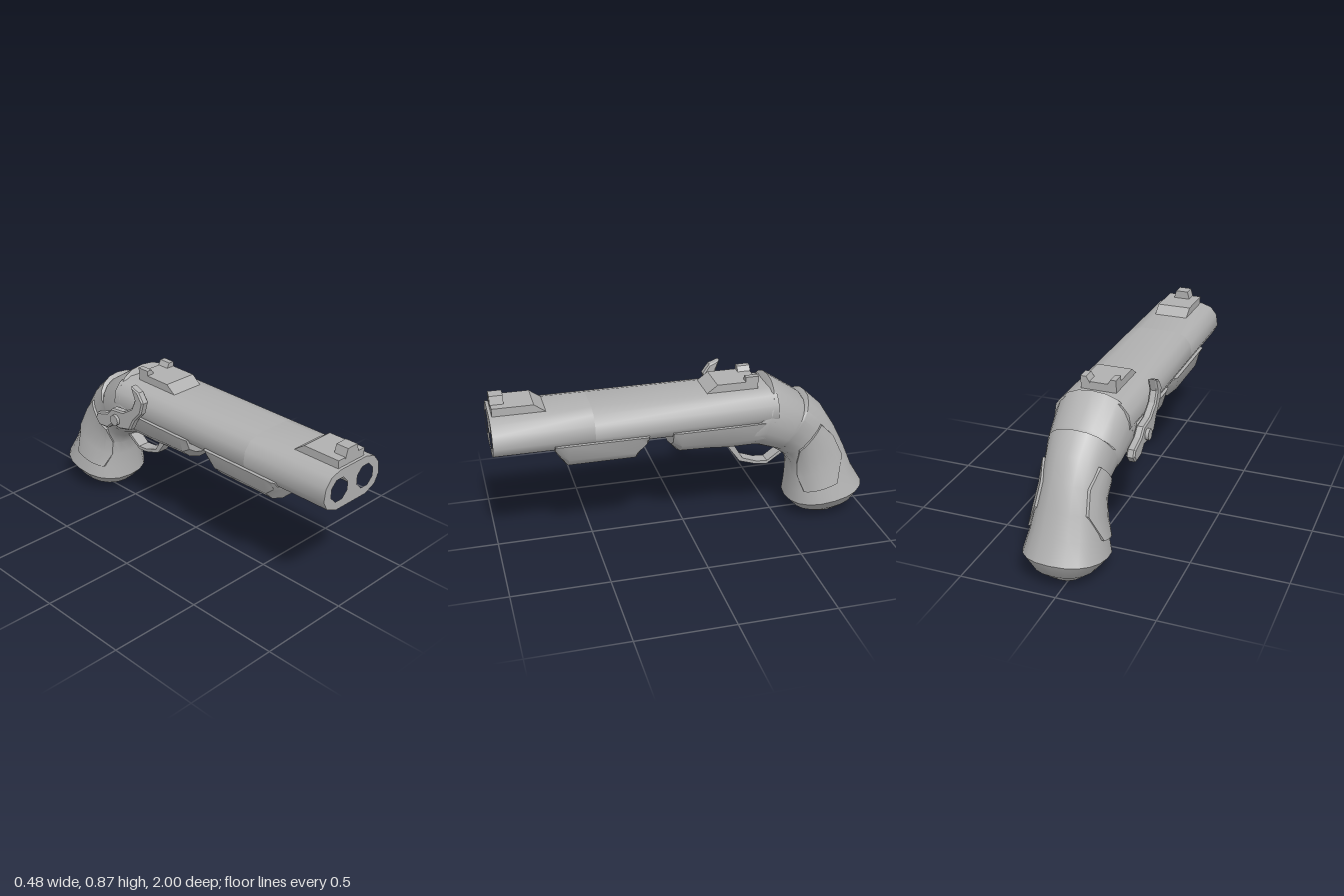
import * as THREE from 'three';
import { toCreasedNormals } from 'three/addons/utils/BufferGeometryUtils.js';

const CX = 0.03; // centre plane of the body

// Closed skin through equal-length rings of [x, y, z], with both ends capped
function loft(rings) {
  const n = rings[0].length, pos = rings.flat(2), idx = [];
  for (let i = 0; i < rings.length - 1; i++) {
    for (let j = 0; j < n; j++) {
      const a = i * n + j, b = i * n + (j + 1) % n;
      idx.push(a, b, b + n, a, b + n, a + n);
    }
  }
  [rings[0], rings[rings.length - 1]].forEach((ring, end) => {
    const c = pos.length / 3, base = end ? (rings.length - 1) * n : 0;
    for (let k = 0; k < 3; k++) pos.push(ring.reduce((s, p) => s + p[k], 0) / n);
    for (let j = 0; j < n; j++) {
      const a = base + j, b = base + (j + 1) % n;
      if (end) idx.push(a, b, c); else idx.push(b, a, c);
    }
  });
  // turn the skin outward if its signed volume is negative
  const at = i => new THREE.Vector3().fromArray(pos, i * 3);
  let volume = 0;
  for (let i = 0; i < idx.length; i += 3) {
    volume += at(idx[i]).dot(at(idx[i + 1]).cross(at(idx[i + 2])));
  }
  if (volume < 0) idx.reverse();
  const g = new THREE.BufferGeometry();
  g.setAttribute('position', new THREE.Float32BufferAttribute(pos, 3));
  g.setIndex(idx);
  return toCreasedNormals(g, 0.6);
}

const toShape = pts => new THREE.Shape(pts.map(p => new THREE.Vector2(...p)));
const mirrored = half => [...half, ...half.slice().reverse().map(([x, y]) => [-x, y])];

// Side outline in [z, y], extruded across x from x0 to x1
function sidePlate(outline, x0, x1, bevel = 0) {
  const g = new THREE.ExtrudeGeometry(toShape(outline.map(([z, y]) => [-z, y])), {
    depth: x1 - x0, bevelEnabled: bevel > 0, bevelSize: bevel, bevelThickness: bevel, bevelOffset: -bevel, bevelSegments: 1,
  });
  return g.rotateY(Math.PI / 2).translate(x0, 0, 0);
}

// Grip stations: spine-back z, y; front/underside z, y; half width
const GRIP = [
  [-0.42, 0.79, -0.28, 0.475, 0.196],
  [-0.445, 0.832, -0.36, 0.465, 0.203],
  [-0.62, 0.715, -0.46, 0.43, 0.185],
  [-0.632, 0.698, -0.47, 0.425, 0.18],
  [-0.655, 0.72, -0.485, 0.415, 0.175],
  [-0.75, 0.63, -0.54, 0.375, 0.158],
  [-0.82, 0.52, -0.575, 0.32, 0.153],
  [-0.88, 0.40, -0.58, 0.25, 0.168],
  [-0.93, 0.28, -0.577, 0.17, 0.188],
  [-0.995, 0.175, -0.57, 0.10, 0.209],
  [-0.96, 0.095, -0.62, 0.047, 0.155],
  [-0.88, 0.025, -0.70, 0.01, 0.085],
];
const power = v => Math.sign(v) * Math.abs(v) ** 0.88;
function gripPoint([tz, ty, bz, by, w], angle, offset = 0) {
  const s = power(Math.sin(angle)) / 2, c = power(Math.cos(angle));
  return [CX + c * (w + offset), (ty + by) / 2 + (ty - by) * s, (tz + bz) / 2 + (tz - bz) * s];
}

export function createModel() {
  const model = new THREE.Group();
  const metal = new THREE.MeshStandardMaterial({ color: 0xb0b0b0 });
  metal.name = 'plain grey';
  const add = (name, geometry) => {
    const mesh = new THREE.Mesh(geometry, metal);
    mesh.name = name;
    model.add(mesh);
    return mesh;
  };

  // Twin barrel block: bored front section and solid rear section
  const section = mirrored([[0.095, 0.797], [0.155, 0.778], [0.19, 0.735], [0.2, 0.67], [0.175, 0.622], [0.11, 0.593]]);
  const bored = toShape(section);
  for (const x of [-0.093, 0.093]) {
    const hole = new THREE.Path();
    for (let i = 0; i <= 8; i++) {
      const a = -(i + 0.5) * Math.PI / 4;
      const p = [x + 0.062 * Math.cos(a), 0.695 + 0.062 * Math.sin(a)];
      if (i) hole.lineTo(...p); else hole.moveTo(...p);
    }
    bored.holes.push(hole);
  }
  const extrude = (shape, z0, z1) => toCreasedNormals(
    new THREE.ExtrudeGeometry(shape, { depth: z1 - z0, bevelEnabled: false }).translate(CX, 0, z0), 0.85);
  add('muzzle', extrude(bored, 0.5, 1));
  add('barrels', extrude(toShape(section), -0.45, 0.5));

  // Fore-end and receiver underside share one trough section, scaled in depth
  const trough = mirrored([[0.206, 0.645], [0.183, 0.555], [0.135, 0.508], [0.06, 0.478]]);
  const troughRing = ([z, bottom, w = 1]) => trough.map(([x, y]) =>
    [CX + x * w, 0.645 + (y - 0.645) * (0.645 - bottom) / 0.167, z]);
  add('foreEnd', loft([[0.70, 0.59, 0.96], [0.685, 0.56, 1], [0.635, 0.48], [0.29, 0.48], [0.24, 0.56], [0.228, 0.59, 0.96]].map(troughRing)));
  add('receiver', loft([[0.105, 0.54, 0.97], [0.06, 0.49], [-0.1, 0.483], [-0.2, 0.473], [-0.43, 0.47, 0.97]].map(troughRing)));

  // Curved grip with a rounded butt
  const sides = 20;
  add('grip', loft(GRIP.map(s => Array.from({ length: sides }, (_, i) => gripPoint(s, i / sides * Math.PI * 2)))));

  // Raised grip panels on both sides
  const spans = [[5, -0.5, 0.55], [6, -0.95, 0.75], [7, -1.0, 0.75], [8, -0.75, 0.2]];
  for (const side of [1, -1]) {
    const rings = spans.map(([k, lo, hi]) => {
      const arc = off => Array.from({ length: 7 }, (_, i) => {
        const p = gripPoint(GRIP[k], lo + (hi - lo) * i / 6, off);
        p[0] = CX + side * (p[0] - CX);
        return p;
      });
      return [...arc(0.014), ...arc(-0.03).reverse()];
    });
    add(side > 0 ? 'leftGripPanel' : 'rightGripPanel', loft(rings));
  }

  // Trigger guard strap
  add('triggerGuard', sidePlate([
    [-0.21, 0.48], [-0.295, 0.36], [-0.39, 0.33], [-0.45, 0.325], [-0.54, 0.385],
    [-0.53, 0.40], [-0.45, 0.342], [-0.39, 0.347], [-0.312, 0.375], [-0.25, 0.48],
  ], CX - 0.034, CX + 0.034));

  // Front sight: ramped base and tapered post
  add('frontSightBase', sidePlate([[0.985, 0.78], [0.985, 0.838], [0.78, 0.838], [0.72, 0.795], [0.72, 0.78]], CX - 0.093, CX + 0.093));
  const post = mirrored([[0.034, 0.88], [0.048, 0.83]]);
  add('frontSightPost', extrude(toShape(post), 0.92, 0.988));

  // Rear sight: ramped base and two notch posts
  add('rearSightBase', sidePlate([[-0.095, 0.78], [-0.095, 0.797], [-0.15, 0.838], [-0.365, 0.838], [-0.365, 0.78]], CX - 0.093, CX + 0.093));
  for (const side of [1, -1]) {
    const ear = [[0.093, 0.83], [0.093, 0.864], [0.063, 0.864], [0.043, 0.83]].map(([x, y]) => [x * side, y]);
    add(side > 0 ? 'leftRearSightPost' : 'rightRearSightPost', extrude(toShape(ear), -0.368, -0.30));
  }

  // Curved side lever and its pivot
  add('sideLever', sidePlate([
    [-0.25, 0.845], [-0.195, 0.825], [-0.16, 0.775], [-0.18, 0.71], [-0.235, 0.65], [-0.27, 0.585], [-0.35, 0.565],
    [-0.41, 0.57], [-0.45, 0.535], [-0.52, 0.528], [-0.55, 0.565], [-0.535, 0.60], [-0.45, 0.625], [-0.41, 0.665],
    [-0.32, 0.675], [-0.25, 0.72], [-0.225, 0.775],
  ], -0.217, -0.188, 0.008));
  const pivot = add('leverPivot', new THREE.CylinderGeometry(0.03, 0.03, 0.11, 10));
  pivot.rotation.z = Math.PI / 2;
  pivot.position.set(-0.187, 0.612, -0.375);

  return model;
}
